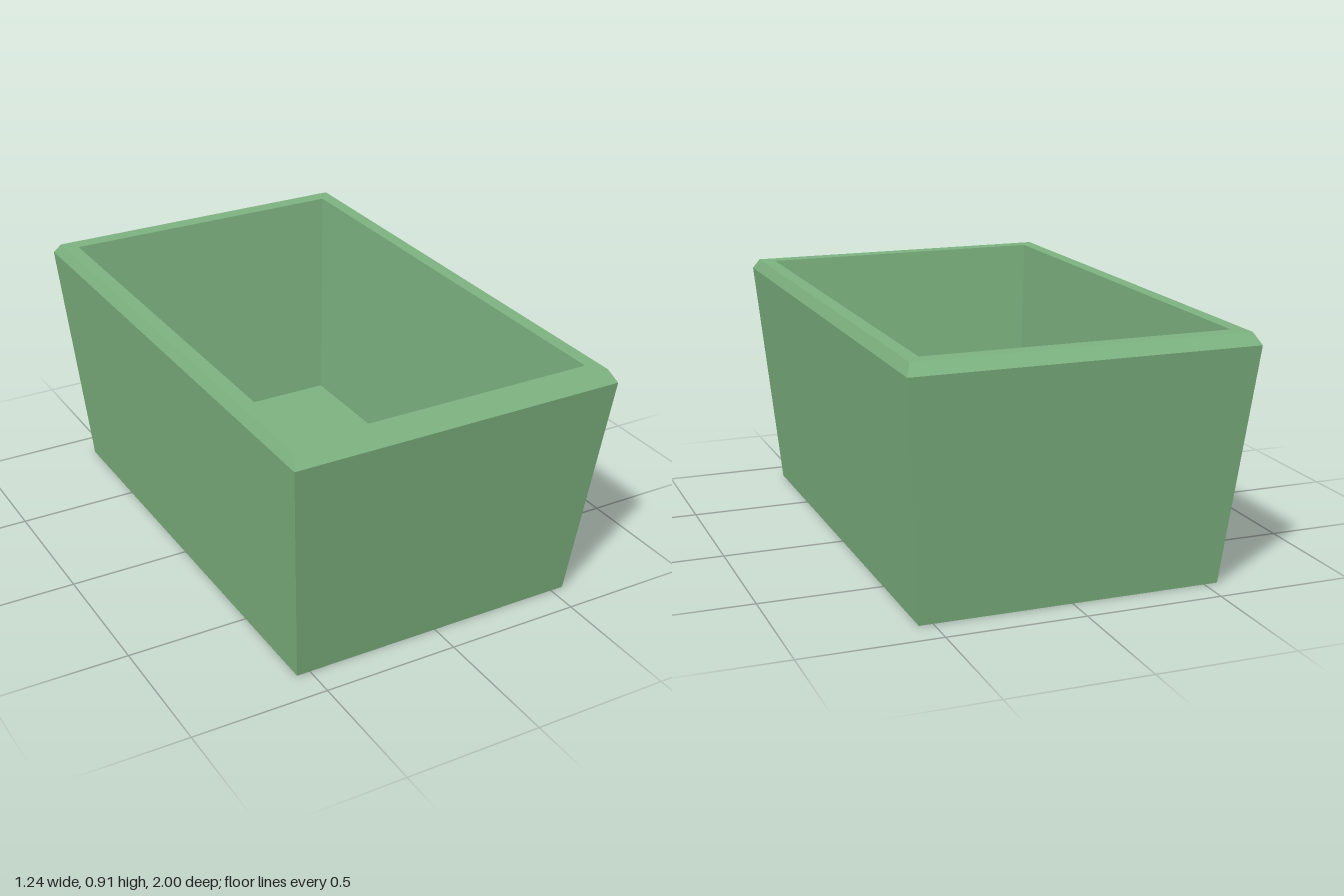
import * as THREE from 'three';

// Flat-shaded loft through rectangular rings [halfX, y, halfZ]; optional end caps.
function loftRectangles(rings, { capStart = false, capEnd = false } = {}) {
  const corners = rings.map(([x, y, z]) => [[-x, y, z], [x, y, z], [x, y, -z], [-x, y, -z]]);
  const positions = [];
  const quad = (a, b, c, d) => positions.push(...a, ...b, ...c, ...a, ...c, ...d);
  for (let i = 0; i < corners.length - 1; i++) {
    const lower = corners[i], upper = corners[i + 1];
    for (let k = 0; k < 4; k++) {
      const n = (k + 1) % 4;
      quad(lower[k], lower[n], upper[n], upper[k]);
    }
  }
  if (capStart) quad(...[...corners[0]].reverse());
  if (capEnd) quad(...corners[corners.length - 1]);
  const geometry = new THREE.BufferGeometry();
  geometry.setAttribute('position', new THREE.Float32BufferAttribute(positions, 3));
  geometry.computeVertexNormals();
  return geometry;
}

export function createModel() {
  const group = new THREE.Group();
  group.name = 'planterBox';
  const green = new THREE.MeshStandardMaterial({ color: 0x7eb481 });
  green.name = 'green';

  // Rings shared by neighbouring parts
  const base = [0.55, 0, 0.88];
  const shoulder = [0.62, 0.87, 1.0];
  const rimOuter = [0.6, 0.91, 0.965];
  const rimInner = [0.55, 0.91, 0.905];
  const floor = [0.505, 0.07, 0.835];

  const add = (name, rings, caps) => {
    const mesh = new THREE.Mesh(loftRectangles(rings, caps), green);
    mesh.name = name;
    group.add(mesh);
  };

  // Tapered outer walls with the underside
  add('outerWalls', [base, shoulder], { capStart: true });
  // Bevelled edge and flat top of the rim
  add('rim', [shoulder, rimOuter, rimInner]);
  // Tapered inside walls down to the floor
  add('innerWallsAndFloor', [rimInner, floor], { capEnd: true });

  return group;
}
